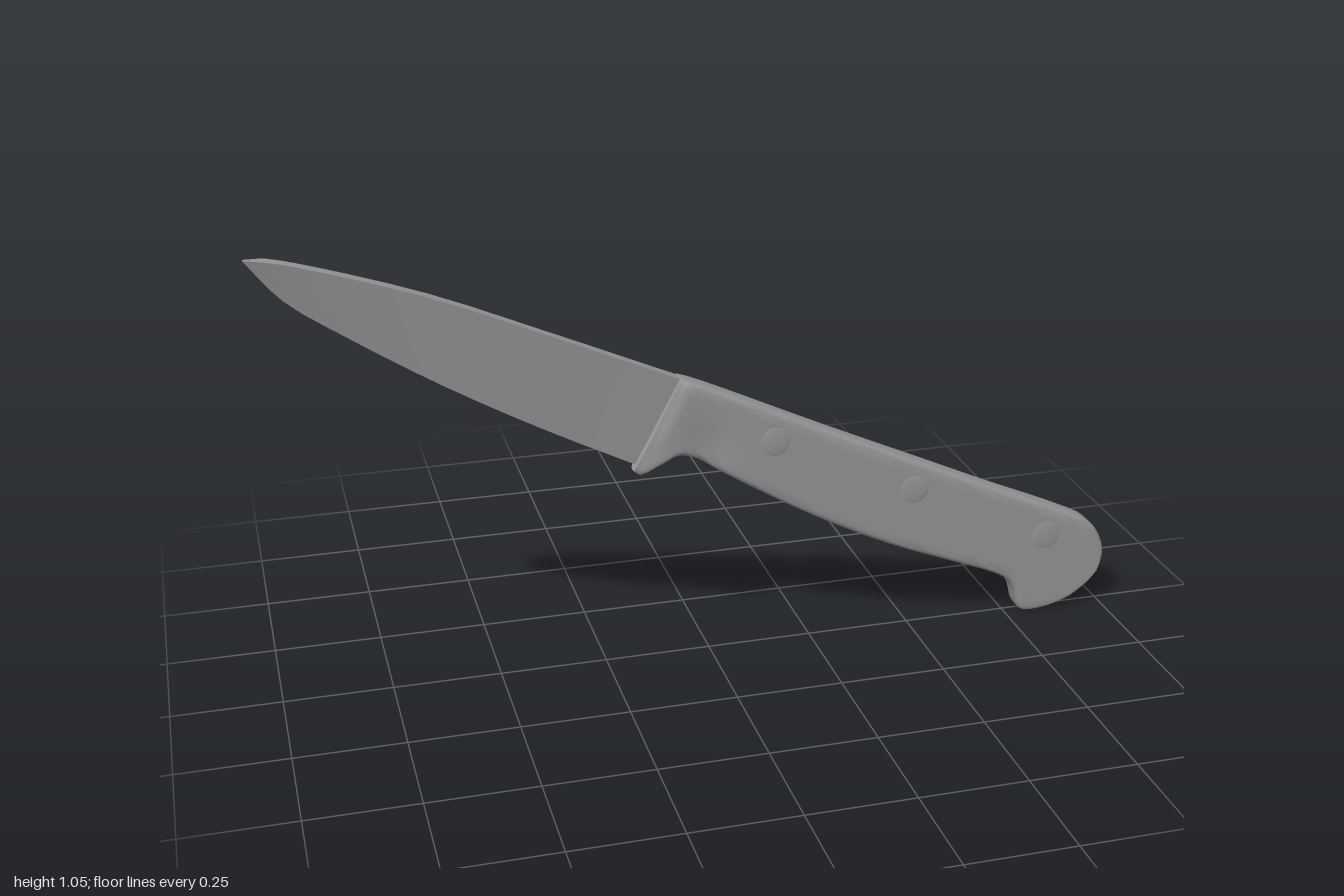
import * as THREE from 'three';
import { toCreasedNormals } from 'three/addons/utils/BufferGeometryUtils.js';

const steel = new THREE.MeshStandardMaterial({ color: 0x999999 });
const HALF = 0.0325; // half thickness of the handle

// Skin a list of closed rings (running toward +x) and cap both ends
function loft(rings, crease) {
  const n = rings[0].length, last = (rings.length - 1) * n;
  const index = [];
  for (let i = 0; i < rings.length - 1; i++) {
    for (let j = 0; j < n; j++) {
      const a = i * n + j, b = i * n + (j + 1) % n;
      index.push(a, a + n, b, b, a + n, b + n);
    }
  }
  for (let j = 1; j < n - 1; j++) {
    index.push(0, j, j + 1, last, last + j + 1, last + j);
  }
  const geo = new THREE.BufferGeometry();
  geo.setAttribute('position', new THREE.Float32BufferAttribute(rings.flat(2), 3));
  geo.setIndex(index);
  return toCreasedNormals(geo, crease);
}

// Sample paired lower and upper outline points along smooth curves
function stations(pairs, steps) {
  const curve = (k) => new THREE.CatmullRomCurve3(
    pairs.map((p) => new THREE.Vector3(p[k], p[k + 1], 0)));
  const low = curve(0), high = curve(2), count = (pairs.length - 1) * steps;
  return Array.from({ length: count + 1 }, (_, i) =>
    [low.getPoint(i / count), high.getPoint(i / count)]);
}

function makeBlade() {
  // cutting edge x, y, spine x, y
  const pairs = [
    [-1, 1.043, -0.999, 1.045], [-0.925, 0.95, -0.95, 1.04], [-0.8, 0.858, -0.86, 1.016],
    [-0.6, 0.727, -0.62, 0.935], [-0.38, 0.6, -0.36, 0.823], [-0.16, 0.485, -0.06, 0.69],
  ];
  // wedge section: sharp edge, flat spine
  const rings = stations(pairs, 3).map(([e, s]) => {
    const h = 0.016 * THREE.MathUtils.smoothstep(s.x, -1.03, -0.94);
    return [[e.x, e.y, 0], [s.x, s.y, h], [s.x, s.y, -h]];
  });
  return new THREE.Mesh(loft(rings, 0.5), steel);
}

// Half thickness: thin at the heel, eased in at the collar, scooped by the finger notch
function halfThickness(x, y) {
  const { lerp, smoothstep } = THREE.MathUtils;
  const heel = lerp(0.5, 1, smoothstep(x, -0.185, -0.1));
  const fromCollar = (x + 0.07) * 0.892 - (y - 0.697) * 0.452;
  const collar = lerp(0.75, 1, smoothstep(fromCollar, -0.005, 0.03));
  const scoop = Math.exp(-(((x + 0.01) / 0.06) ** 2) - ((y - 0.53) / 0.07) ** 2);
  return HALF * Math.min(heel, collar) - 0.006 * scoop;
}

function handleRing([b, t]) {
  const L = b.distanceTo(t), r = Math.min(0.014, L * 0.45);
  const side = [];
  for (let k = 0; k <= 4; k++) {
    const a = k * Math.PI / 8;
    side.push([r * (1 - Math.cos(a)), HALF - r + r * Math.sin(a)]);
  }
  for (let k = 1; k < 10; k++) side.push([r + (L - 2 * r) * k / 10, HALF]);
  for (let k = 4; k >= 0; k--) side.push([L - side[k][0], side[k][1]]);
  const point = ([s, z], sign) => {
    const p = b.clone().lerp(t, s / L);
    return [p.x, p.y, sign * z / HALF * halfThickness(p.x, p.y)];
  };
  return [...side.map((q) => point(q, 1)), ...side.slice().reverse().map((q) => point(q, -1))];
}

function makeHandle() {
  // belly x, y, back x, y
  const pairs = [
    [-0.18, 0.48, -0.07, 0.697], [-0.165, 0.47, -0.062, 0.694], [-0.12, 0.492, -0.04, 0.685],
    [-0.08, 0.511, -0.01, 0.672], [-0.035, 0.5, 0.04, 0.649], [0.02, 0.463, 0.11, 0.616],
    [0.1, 0.412, 0.2, 0.573], [0.25, 0.322, 0.35, 0.503], [0.43, 0.23, 0.53, 0.421],
    [0.6, 0.16, 0.7, 0.343], [0.71, 0.115, 0.84, 0.282], [0.75, 0.09, 0.9, 0.254],
    [0.77, 0.058, 0.942, 0.233], [0.787, 0.006, 0.97, 0.21], [0.83, 0, 0.99, 0.178],
    [0.91, 0.02, 1, 0.145], [0.967, 0.063, 0.996, 0.115], [0.981, 0.083, 0.988, 0.095],
  ];
  return new THREE.Mesh(loft(stations(pairs, 3).map(handleRing), 0.7), steel);
}

export function createModel() {
  const knife = new THREE.Group();
  knife.name = 'knife';

  const blade = makeBlade();
  blade.name = 'blade';
  const handle = makeHandle();
  handle.name = 'handle';
  knife.add(blade, handle);

  // shallow domed rivets on both faces of the handle
  const dome = new THREE.SphereGeometry(1, 24, 12);
  for (const [x, y] of [[0.15, 0.525], [0.495, 0.365], [0.84, 0.203]]) {
    for (const side of [1, -1]) {
      const rivet = new THREE.Mesh(dome, steel);
      rivet.name = 'rivet';
      rivet.position.set(x, y, side * 0.031);
      rivet.scale.set(0.038, 0.038, 0.004);
      knife.add(rivet);
    }
  }
  return knife;
}
